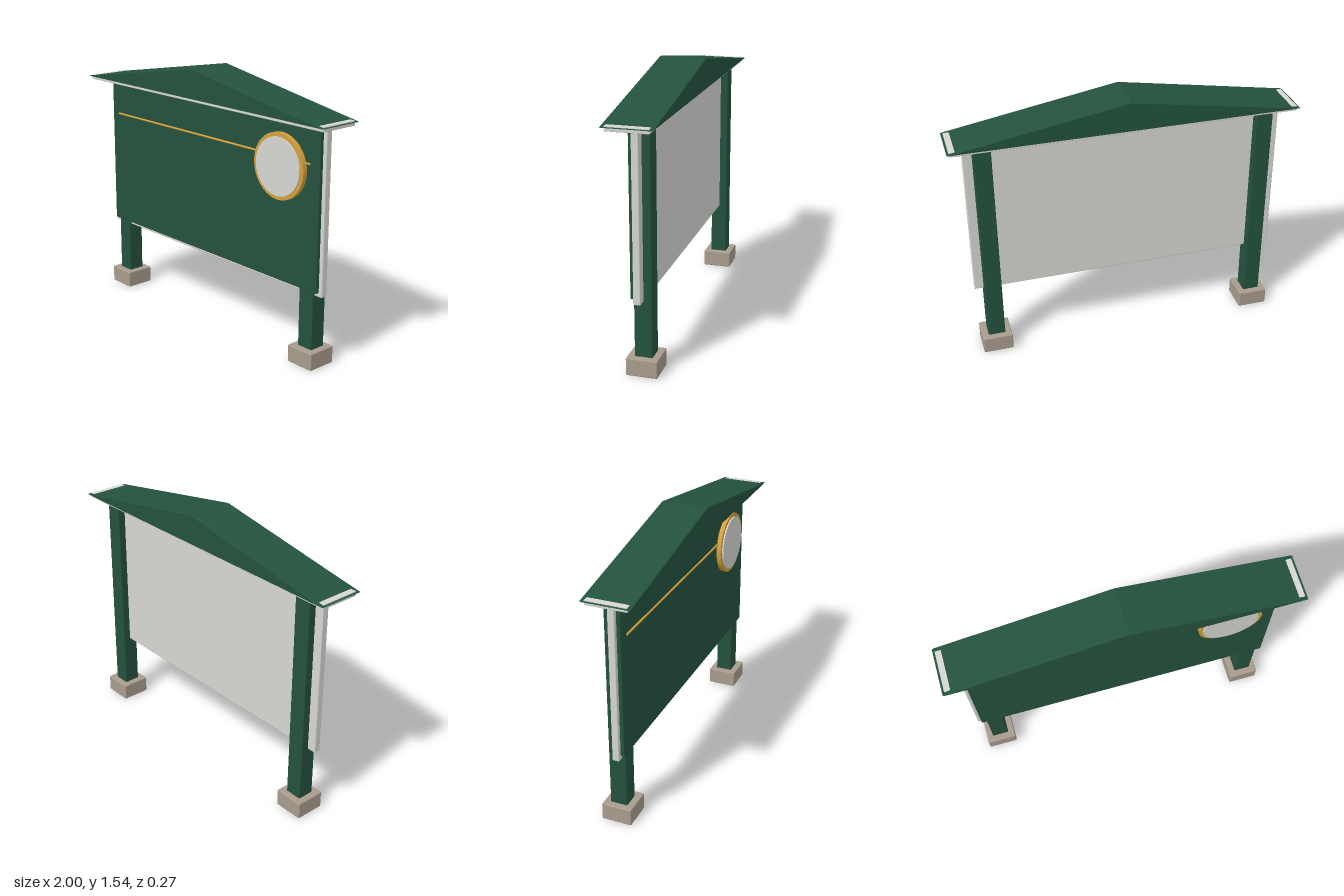
import * as THREE from 'three';
import { RoundedBoxGeometry } from 'three/addons/geometries/RoundedBoxGeometry.js';

export function createModel() {
  const model = new THREE.Group();
  model.name = 'signBoard';

  const material = (name, color) => {
    const m = new THREE.MeshStandardMaterial({ color });
    m.name = name;
    return m;
  };
  const green = material('darkGreen', 0x24523e);
  const white = material('offWhite', 0xd6d6d2);
  const gold = material('gold', 0xd4a03a);
  const stone = material('stone', 0xa89c8e);

  const add = (name, geometry, mat) => {
    const mesh = new THREE.Mesh(geometry, mat);
    mesh.name = name;
    model.add(mesh);
    return mesh;
  };
  // Softly rounded box given by its limits on each axis
  const box = (name, mat, [x0, x1], [y0, y1], [z0, z1], radius = 0.006) => {
    const mesh = add(name, new RoundedBoxGeometry(x1 - x0, y1 - y0, z1 - z0, 2, radius), mat);
    mesh.position.set((x0 + x1) / 2, (y0 + y1) / 2, (z0 + z1) / 2);
  };
  // Upright disc facing +z
  const disc = (name, mat, radius, z0, z1) => {
    const geometry = new THREE.CylinderGeometry(radius, radius, z1 - z0, 64).rotateX(Math.PI / 2);
    add(name, geometry, mat).position.set(0.617, 1.09, (z0 + z1) / 2);
  };

  // Posts on stone footings
  for (const [side, x] of [['left', 0.81], ['right', -0.81]]) {
    box(side + 'Post', green, [x - 0.05, x + 0.05], [0.002, 1.342], [-0.078, 0.021]);
    box(side + 'Footing', stone, [x - 0.088, x + 0.088], [0, 0.1], [-0.115, 0.06], 0.007);
  }

  // Backing board and front panel
  box('backingBoard', white, [-0.912, 0.912], [0.415, 1.36], [-0.032, 0.008]);
  box('frontPanel', green, [-0.89, 0.89], [0.438, 1.345], [0.002, 0.03]);

  // Eave board whose ends just show through the roof
  box('eaveBoard', white, [-0.988, 0.988], [1.348, 1.376], [-0.115, 0.118], 0.003);

  // Low gable roof
  const gable = new THREE.Shape([
    new THREE.Vector2(-1, 1.368),
    new THREE.Vector2(1, 1.368),
    new THREE.Vector2(0, 1.543),
  ]);
  const bevel = 0.007;
  const roof = new THREE.ExtrudeGeometry(gable, {
    depth: 0.273 - 2 * bevel, bevelEnabled: true, bevelSegments: 2,
    bevelThickness: bevel, bevelSize: bevel, bevelOffset: -bevel,
  });
  add('roof', roof, green).position.z = -0.135 + bevel;

  // Gold line and round plaque
  const line = new THREE.CylinderGeometry(0.006, 0.006, 1.65, 12).rotateZ(Math.PI / 2);
  add('goldLine', line, gold).position.set(0, 1.139, 0.033);
  disc('plaqueRim', gold, 0.184, 0.02, 0.057);
  disc('plaqueFace', white, 0.162, 0.05, 0.065);

  return model;
}
